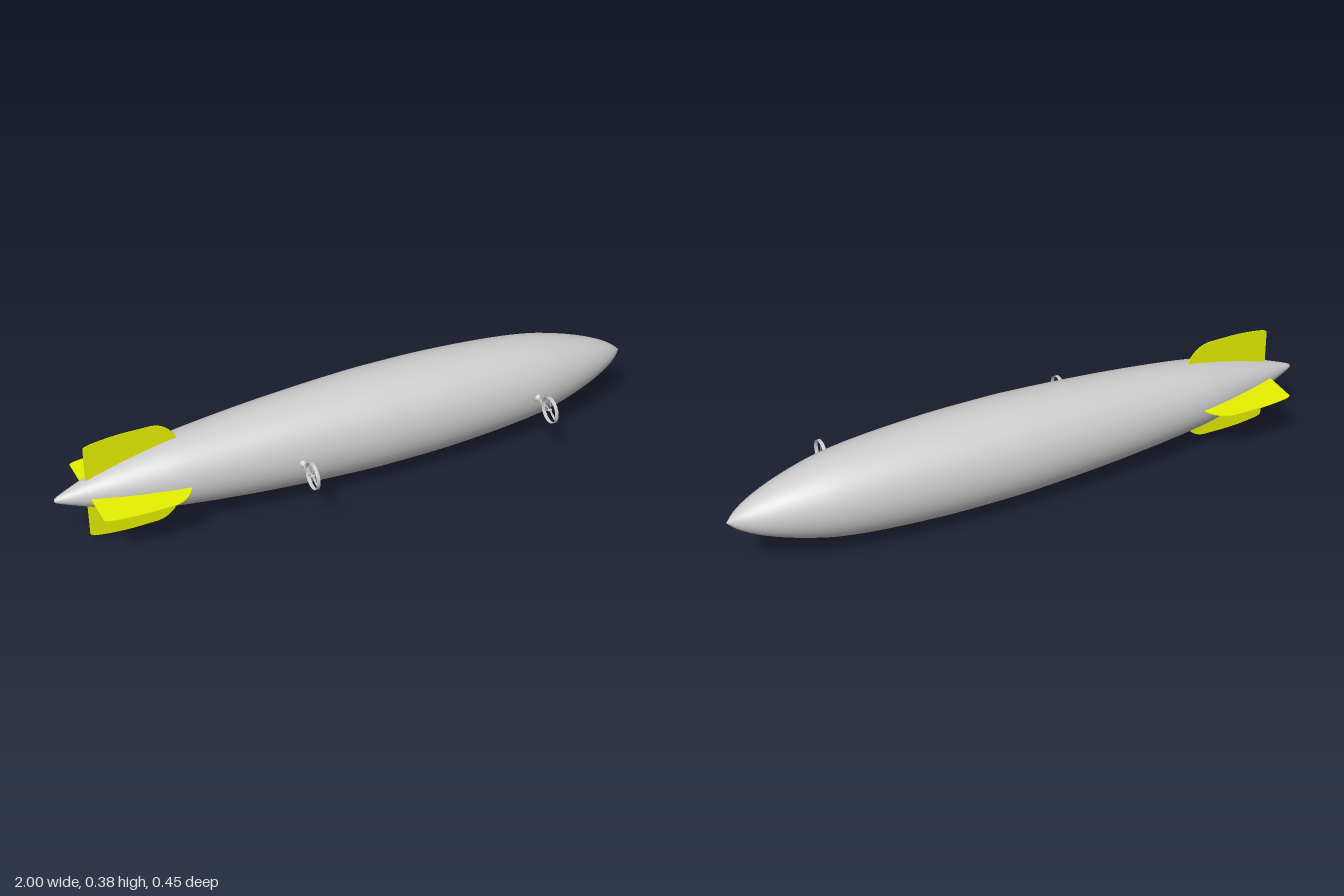
import * as THREE from 'three';

const AXIS_Y = 0.198, AXIS_Z = -0.04;
const material = (color) => new THREE.MeshStandardMaterial({ color, side: THREE.DoubleSide });
const grey = material(0xcccccc), yellow = material(0xe6f000), red = material(0xd80000);

function mesh(name, geometry, mat, parent) {
  const m = new THREE.Mesh(geometry, mat);
  m.name = name;
  parent.add(m);
  return m;
}

// Envelope profile: [radius, x] from tail to nose
const PROFILE = [
  [0, -1], [0.01, -0.995], [0.045, -0.9], [0.075, -0.8], [0.099, -0.7], [0.117, -0.6], [0.138, -0.4],
  [0.153, -0.2], [0.163, 0], [0.165, 0.12], [0.163, 0.3], [0.152, 0.5], [0.136, 0.65], [0.115, 0.75],
  [0.085, 0.85], [0.054, 0.925], [0.026, 0.972], [0, 1],
];

function hullRadius(x) {
  const i = PROFILE.findIndex((p) => p[1] >= x);
  const [r0, x0] = PROFILE[i - 1], [r1, x1] = PROFILE[i];
  return r0 + (r1 - r0) * (x - x0) / (x1 - x0);
}

// Tail fin in the XY plane, thinning from root to tip
function finGeometry() {
  const s = new THREE.Shape();
  s.moveTo(-0.9, 0.02);
  s.lineTo(-0.9, 0.158);
  s.quadraticCurveTo(-0.9, 0.168, -0.87, 0.172);
  s.quadraticCurveTo(-0.81, 0.182, -0.74, 0.181);
  s.lineTo(-0.68, 0.18);
  s.quadraticCurveTo(-0.64, 0.178, -0.613, 0.14);
  s.quadraticCurveTo(-0.6, 0.122, -0.59, 0.09);
  s.lineTo(-0.59, 0.02);
  s.closePath();
  const g = new THREE.ExtrudeGeometry(s, { depth: 1, bevelEnabled: false, curveSegments: 8 });
  const p = g.attributes.position;
  for (let i = 0; i < p.count; i++) {
    const thickness = THREE.MathUtils.mapLinear(p.getY(i), 0.02, 0.182, 0.008, 0.002);
    p.setZ(i, (p.getZ(i) - 0.5) * thickness);
  }
  g.computeVertexNormals();
  return g;
}

// Cabin: U-shaped sections [x, half width, lowest y] joined lengthwise
function cabinGeometry() {
  const stations = [
    [-0.04, 0.006, 0.04], [0, 0.018, 0.023], [0.05, 0.025, 0.004], [0.1, 0.026, 0.001],
    [0.2, 0.026, 0.001], [0.25, 0.022, 0.002], [0.275, 0.012, 0.005], [0.29, 0.003, 0.03],
  ];
  const arc = 12, row = arc + 3, top = 0.06, pos = [], index = [];
  for (const [x, w, low] of stations) {
    const bend = Math.min(low + w, 0.05);
    pos.push(x, top, AXIS_Z - w);
    for (let i = 0; i <= arc; i++) {
      const a = Math.PI * i / arc;
      pos.push(x, bend - (bend - low) * Math.sin(a), AXIS_Z - w * Math.cos(a));
    }
    pos.push(x, top, AXIS_Z + w);
  }
  for (let s = 0; s < stations.length - 1; s++) {
    for (let i = 0; i < row - 1; i++) {
      const a = s * row + i, b = a + row;
      index.push(a, b, a + 1, b, b + 1, a + 1);
    }
  }
  // End caps
  const last = (stations.length - 1) * row;
  for (let i = 1; i < row - 1; i++) {
    index.push(0, i, i + 1, last, last + i + 1, last + i);
  }
  const g = new THREE.BufferGeometry();
  g.setAttribute('position', new THREE.Float32BufferAttribute(pos, 3));
  g.setIndex(index);
  g.computeVertexNormals();
  return g;
}

// Propeller blade: tapered paddle pointing up, twisted along its length
function bladeGeometry() {
  const s = new THREE.Shape();
  s.moveTo(-0.0015, 0);
  s.quadraticCurveTo(-0.004, 0.015, -0.0038, 0.028);
  s.quadraticCurveTo(-0.003, 0.039, 0, 0.039);
  s.quadraticCurveTo(0.003, 0.039, 0.0038, 0.028);
  s.quadraticCurveTo(0.004, 0.015, 0.0015, 0);
  const g = new THREE.ExtrudeGeometry(s, { depth: 0.0016, bevelEnabled: false, curveSegments: 6 });
  g.translate(0, 0, -0.0008);
  const p = g.attributes.position;
  for (let i = 0; i < p.count; i++) {
    const a = 0.7 - p.getY(i) * 10, x = p.getX(i), z = p.getZ(i);
    p.setX(i, x * Math.cos(a) - z * Math.sin(a));
    p.setZ(i, x * Math.sin(a) + z * Math.cos(a));
  }
  g.computeVertexNormals();
  return g.rotateY(Math.PI / 2);
}

function createThruster(x) {
  const unit = new THREE.Group();
  unit.name = 'thruster';
  unit.position.set(x, AXIS_Y, 0);
  const centre = 0.181, hull = AXIS_Z + hullRadius(x);

  // Ring around the propeller, axis along x
  const wall = [[0.0432, -0.006], [0.0442, -0.006], [0.0442, 0.006], [0.0432, 0.006], [0.0432, -0.006]];
  const ring = mesh('ring', new THREE.LatheGeometry(wall.map(([r, h]) => new THREE.Vector2(r, h)), 36), grey, unit);
  ring.rotation.z = -Math.PI / 2;
  ring.position.z = centre;

  // Arm, base and collar joining it to the envelope
  const rod = (name, r0, r1, z0, z1) => {
    const m = mesh(name, new THREE.CylinderGeometry(r1, r0, z1 - z0, 16), grey, unit);
    m.rotation.x = Math.PI / 2;
    m.position.z = (z0 + z1) / 2;
  };
  rod('arm', 0.003, 0.002, hull - 0.01, centre);
  rod('armBase', 0.017, 0.007, hull - 0.008, hull + 0.012);
  rod('collar', 0.01, 0.01, 0.133, 0.137);

  // Hub and three blades
  const hub = mesh('hub', new THREE.SphereGeometry(0.005, 16, 10), grey, unit);
  hub.scale.x = 1.6;
  hub.position.z = centre;
  for (let i = 0; i < 3; i++) {
    const blade = mesh('blade', bladeGeometry(), grey, unit);
    blade.position.z = centre;
    blade.rotation.x = i * Math.PI * 2 / 3;
  }
  return unit;
}

export function createModel() {
  const model = new THREE.Group();
  model.name = 'airship';

  // Smooth envelope, with the profile resampled through a spline
  const curve = new THREE.SplineCurve(PROFILE.map(([r, x]) => new THREE.Vector2(r, x)));
  const points = curve.getPoints(68).map((p) => new THREE.Vector2(Math.max(p.x, 0), p.y));
  const hull = mesh('envelope', new THREE.LatheGeometry(points, 40), grey, model);
  hull.rotation.z = -Math.PI / 2;
  hull.position.set(0, AXIS_Y, AXIS_Z);

  // Four tail fins in a cross
  for (let i = 0; i < 4; i++) {
    const fin = mesh('tailFin', finGeometry(), yellow, model);
    fin.position.set(0, AXIS_Y, AXIS_Z);
    fin.rotation.x = i * Math.PI / 2;
  }

  mesh('cabin', cabinGeometry(), red, model);
  for (const x of [-0.24, 0.605]) model.add(createThruster(x));
  return model;
}
